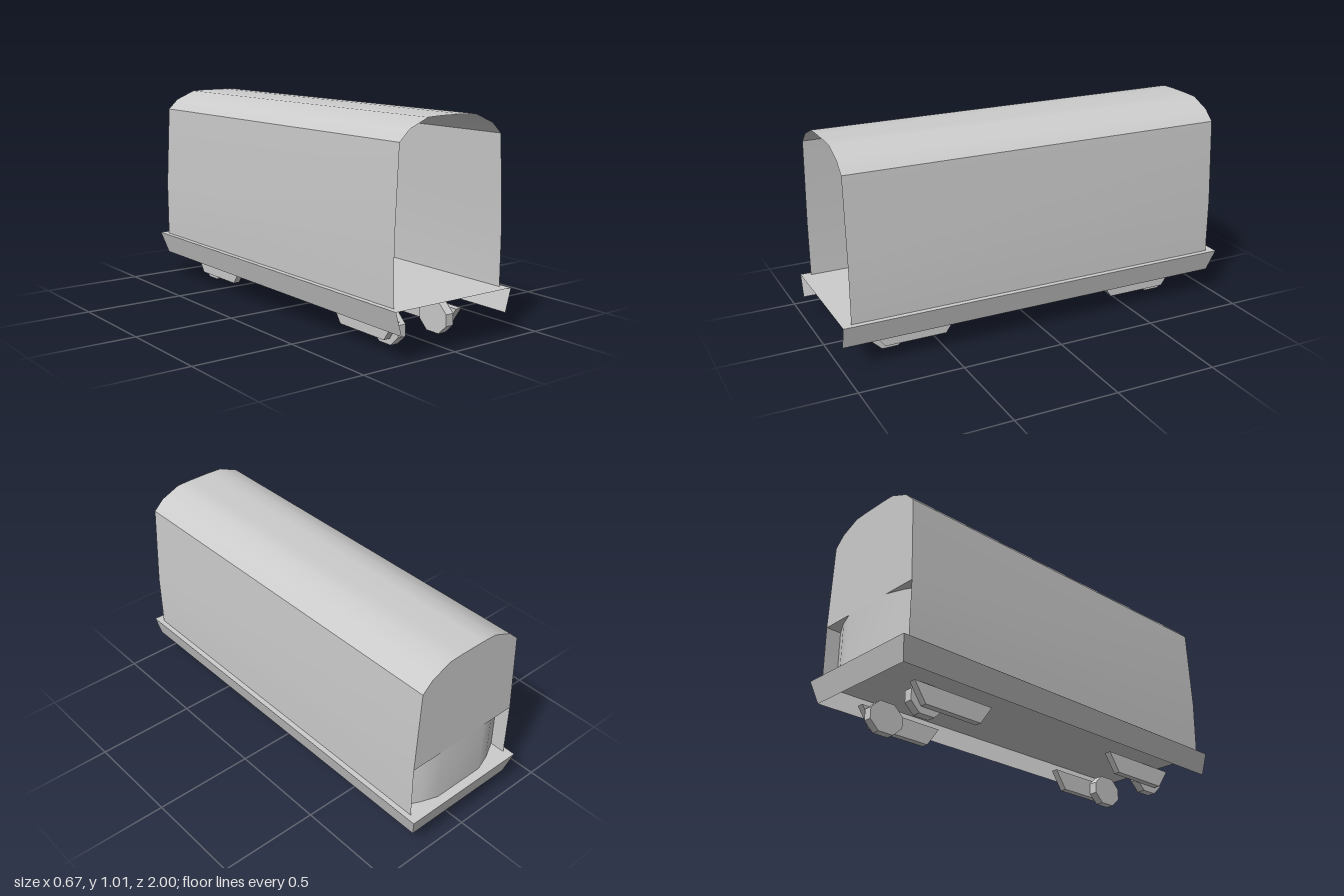
import * as THREE from 'three';

const material = new THREE.MeshStandardMaterial({ color: 0xcccccc, side: THREE.DoubleSide });

function addMesh(group, name, geometry) {
  const mesh = new THREE.Mesh(geometry, material);
  mesh.name = name;
  group.add(mesh);
  return mesh;
}

// Smooth sheet joining two rows of [x, y, z] points
function strip(rowA, rowB) {
  const n = rowA.length;
  const geometry = new THREE.BufferGeometry();
  geometry.setAttribute('position', new THREE.Float32BufferAttribute([...rowA, ...rowB].flat(), 3));
  const index = [];
  for (let i = 0; i < n - 1; i++) index.push(i, n + i, i + 1, i + 1, n + i, n + i + 1);
  geometry.setIndex(index);
  geometry.computeVertexNormals();
  return geometry;
}

// Solid plate with a [z, y] outline, reaching from x0 to x1
function sidePlate(outline, x0, x1) {
  const shape = new THREE.Shape(outline.map(([z, y]) => new THREE.Vector2(-z, y)));
  const geometry = new THREE.ExtrudeGeometry(shape, { depth: x1 - x0, bevelEnabled: false });
  return geometry.rotateY(Math.PI / 2).translate(x0, 0, 0);
}

export function createModel() {
  const model = new THREE.Group();
  model.name = 'railCarriage';
  const end = 0.955, floorY = 0.23, sillY = 0.505;

  // Curved roof
  const arc = [[0.288, 0.915], [0.235, 0.965], [0.135, 1.007], [0.06, 1.01],
    [-0.06, 1.01], [-0.135, 1.007], [-0.235, 0.965], [-0.288, 0.915]];
  const roofRow = z => arc.map(([x, y]) => [x, y, z]);
  addMesh(model, 'roof', strip(roofRow(end), roofRow(-end)));

  // Side walls, leaning in above the sill
  const wall = [[0.307, floorY], [0.309, sillY], [0.288, 0.915]];
  for (const s of [1, -1]) {
    const row = z => wall.map(([x, y]) => [s * x, y, z]);
    addMesh(model, s > 0 ? 'leftWall' : 'rightWall', strip(row(s * -end), row(s * end)));
  }

  // Rear end: flat upper panel over a lower panel set back at both sides
  const upper = new THREE.Shape([[0.309, sillY], ...arc, [-0.309, sillY]].map(p => new THREE.Vector2(...p)));
  addMesh(model, 'rearUpperPanel', new THREE.ShapeGeometry(upper).rotateY(Math.PI).translate(0, 0, -end));
  const plan = [[0.307, -0.88], [0.22, -0.925], [0.135, -end], [-0.135, -end], [-0.22, -0.925], [-0.307, -0.88]];
  const panelRow = y => plan.map(([x, z]) => [x, y, z]);
  addMesh(model, 'rearLowerPanel', strip(panelRow(sillY), panelRow(floorY)));
  addMesh(model, 'rearLedge', strip(plan.map(([x]) => [x, sillY, -end]), panelRow(sillY)));

  // Floor and the sloping skirt, open below and at the front
  addMesh(model, 'floor', new THREE.PlaneGeometry(0.667, 2).rotateX(-Math.PI / 2).translate(0, floorY, 0));
  const top = [[0.333, 1], [0.333, -1], [-0.333, -1], [-0.333, 1]].map(([x, z]) => [x, floorY, z]);
  const low = [[0.302, 1], [0.302, -0.97], [-0.302, -0.97], [-0.302, 1]].map(([x, z]) => [x, 0.122, z]);
  ['leftSkirt', 'rearSkirt', 'rightSkirt'].forEach((name, i) =>
    addMesh(model, name, strip(top.slice(i, i + 2), low.slice(i, i + 2))));

  // Bogies: tapered outer frames and eight-sided wheels
  const frame = [[0.83, 0.122], [0.765, 0.03], [0.457, 0.03], [0.393, 0.122]];
  const wheel = [[-0.04, 0], [0.04, 0], [0.088, 0.045], [0.088, 0.1],
    [0.04, 0.145], [-0.04, 0.145], [-0.088, 0.1], [-0.088, 0.045]].map(([z, y]) => [z + 0.728, y]);
  for (const e of [1, -1]) {
    const bogie = new THREE.Group();
    bogie.name = e > 0 ? 'frontBogie' : 'rearBogie';
    for (const s of [1, -1]) {
      const place = (outline, a, b) =>
        sidePlate(outline.map(([z, y]) => [e * z, y]), Math.min(s * a, s * b), Math.max(s * a, s * b));
      addMesh(bogie, 'bogieFrame', place(frame, 0.166, 0.199));
      addMesh(bogie, 'wheel', place(wheel, 0.12, 0.162));
    }
    model.add(bogie);
  }
  return model;
}
